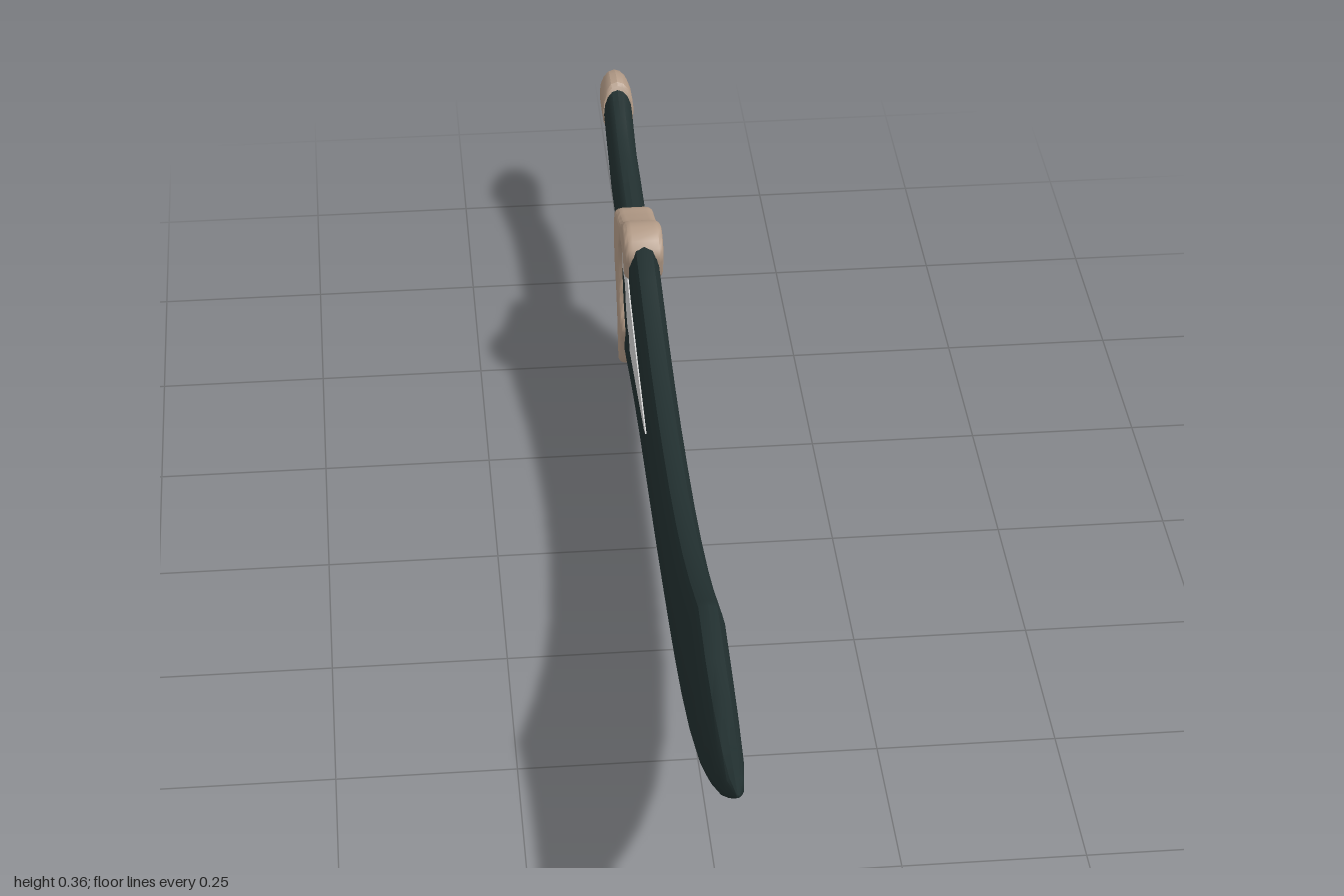
import * as THREE from 'three';
import { toCreasedNormals } from 'three/addons/utils/BufferGeometryUtils.js';

const mat = (name, color, extra = {}) => Object.assign(new THREE.MeshStandardMaterial({ color, ...extra }), { name });

// Lofts rings from tip to rear. Section: [zTop, yTop, zBottom, yBottom, halfWidth].
// ring(section) gives [x, t] pairs counter-clockwise seen from +z, t = 0 bottom to 1 top.
function loft(sections, ring, crease) {
  const pos = [], idx = [];
  const n = ring(sections[0]).length;
  for (const s of sections) {
    for (const [x, t] of ring(s)) {
      pos.push(x, s[3] + (s[1] - s[3]) * t, s[2] + (s[0] - s[2]) * t);
    }
  }
  const last = sections.length - 1;
  for (let i = 0; i < last; i++) {
    for (let j = 0; j < n; j++) {
      const a = i * n + j, b = i * n + (j + 1) % n;
      idx.push(a, a + n, b, b, a + n, b + n);
    }
  }
  // end caps
  [0, last].forEach((k) => {
    const s = sections[k], c = pos.length / 3;
    pos.push(0, (s[1] + s[3]) / 2, (s[0] + s[2]) / 2);
    for (let j = 0; j < n; j++) {
      const a = k * n + j, b = k * n + (j + 1) % n;
      if (k === 0) idx.push(c, a, b);
      else idx.push(c, b, a);
    }
  });
  const g = new THREE.BufferGeometry();
  g.setAttribute('position', new THREE.Float32BufferAttribute(pos, 3));
  g.setIndex(idx);
  return toCreasedNormals(g, crease);
}

// Flat body with bevelled edges: narrow ridge, then full width
function bladeRing(s) {
  const h = Math.max(s[1] - s[3], 0.001), w = s[4];
  const b = Math.min(0.035 / h, 0.3), e = b * 0.12;
  const side = [[0.55, e], [0.82, b * 0.5], [1, b], [1, 1 - b], [0.82, 1 - b * 0.5], [0.55, 1 - e]];
  return [[0, 0], ...side.map(([x, t]) => [x * w, t]), [0, 1],
    ...side.slice().reverse().map(([x, t]) => [-x * w, t])];
}

function ovalRing(s) {
  return Array.from({ length: 16 }, (_, i) => {
    const a = (i / 16) * Math.PI * 2;
    return [Math.cos(a) * s[4], 0.5 + 0.5 * Math.sin(a)];
  });
}

// Side outline of [z, y] points, extruded along x and centred
function sidePlate(points, depth, bevel, bevelDepth) {
  const shape = new THREE.Shape(points.map(([z, y]) => new THREE.Vector2(z, y)));
  const g = new THREE.ExtrudeGeometry(shape, {
    depth, bevelEnabled: bevel > 0, bevelSize: bevel, bevelOffset: -bevel,
    bevelThickness: bevelDepth, bevelSegments: 3,
  });
  g.translate(0, 0, -depth / 2);
  g.rotateY(-Math.PI / 2);
  return g;
}

const smoothOutline = (points, count) =>
  new THREE.CatmullRomCurve3(points.map(([z, y]) => new THREE.Vector3(z, y, 0)), true, 'centripetal')
    .getSpacedPoints(count).slice(0, -1).map((p) => [p.x, p.y]);

export function createModel() {
  const group = new THREE.Group();
  const dark = mat('darkSteel', 0x223030);
  const tan = mat('tanBone', 0xb39b87);
  const silver = mat('paleSilver', 0xd2d2d2);
  const add = (name, geometry, material) => {
    const m = new THREE.Mesh(geometry, material);
    m.name = name;
    group.add(m);
    return m;
  };

  // Curved blade: [z, spine y, edge y, half width]
  const blade = [
    [1.0, 0.350, 0.346, 0.002], [0.96, 0.347, 0.312, 0.012], [0.9, 0.345, 0.266, 0.018],
    [0.8, 0.345, 0.201, 0.022], [0.72, 0.348, 0.158, 0.023], [0.62, 0.360, 0.117, 0.023],
    [0.6, 0.352, 0.111, 0.023], [0.5, 0.315, 0.085, 0.023], [0.4, 0.286, 0.069, 0.023],
    [0.3, 0.266, 0.060, 0.023], [0.2, 0.254, 0.054, 0.023], [0.1, 0.250, 0.050, 0.023],
    [0, 0.250, 0.048, 0.023], [-0.1, 0.257, 0.047, 0.023], [-0.2, 0.269, 0.045, 0.023],
    [-0.3, 0.287, 0.038, 0.023],
  ].map(([z, top, bottom, w]) => [z, top, z, bottom, w]);
  blade.push([-0.37, 0.300, -0.38, 0.029, 0.023], [-0.42, 0.290, -0.45, 0.017, 0.023],
    [-0.47, 0.268, -0.49, 0.013, 0.023], [-0.53, 0.235, -0.515, 0.06, 0.023]);
  add('blade', loft(blade, bladeRing, 0.75), dark);

  // Hooked guard wrapping the rear of the blade
  const guard = smoothOutline([
    [-0.362, 0.285], [-0.375, 0.305], [-0.404, 0.317], [-0.44, 0.305], [-0.473, 0.284],
    [-0.53, 0.263], [-0.576, 0.246], [-0.588, 0.2], [-0.586, 0.157], [-0.555, 0.115],
    [-0.535, 0.07], [-0.521, 0.015], [-0.508, 0.003], [-0.494, 0.008], [-0.474, 0.055],
    [-0.452, 0.096], [-0.484, 0.13], [-0.5, 0.165], [-0.5, 0.2], [-0.48, 0.238],
    [-0.45, 0.255], [-0.415, 0.257], [-0.378, 0.237], [-0.37, 0.26],
  ], 72);
  add('guard', toCreasedNormals(sidePlate(guard, 0.034, 0.008, 0.013), 0.8), tan);

  // Pale inlay on both faces: long spike and a rounded lobe
  const inlay = [
    [-0.06, 0.168], [-0.2, 0.193], [-0.34, 0.222], [-0.38, 0.238], [-0.42, 0.255],
    [-0.465, 0.248], [-0.485, 0.225], [-0.475, 0.2], [-0.43, 0.198], [-0.413, 0.165],
    [-0.385, 0.146], [-0.353, 0.148], [-0.35, 0.128], [-0.2, 0.145], [-0.08, 0.16],
  ];
  for (const side of [1, -1]) {
    add(side > 0 ? 'leftInlay' : 'rightInlay', sidePlate(inlay, 0.005, 0, 0), silver).position.x = side * 0.0225;
  }

  // Bent grip
  add('grip', loft([
    [-0.56, 0.245, -0.56, 0.155, 0.024], [-0.64, 0.247, -0.64, 0.157, 0.024],
    [-0.71, 0.250, -0.71, 0.161, 0.024], [-0.77, 0.257, -0.78, 0.170, 0.023],
    [-0.82, 0.269, -0.83, 0.187, 0.023], [-0.89, 0.287, -0.88, 0.212, 0.023],
  ], ovalRing, 0.9), dark);

  // Rounded pommel
  add('pommel', loft([
    [-0.885, 0.292, -0.865, 0.207, 0.024], [-0.89, 0.297, -0.87, 0.203, 0.026],
    [-0.925, 0.295, -0.915, 0.202, 0.026], [-0.955, 0.284, -0.955, 0.203, 0.024],
    [-0.98, 0.268, -0.98, 0.209, 0.019], [-0.995, 0.252, -0.993, 0.221, 0.011],
    [-1.0, 0.242, -1.0, 0.232, 0.004],
  ], ovalRing, 0.9), tan);

  return group;
}
